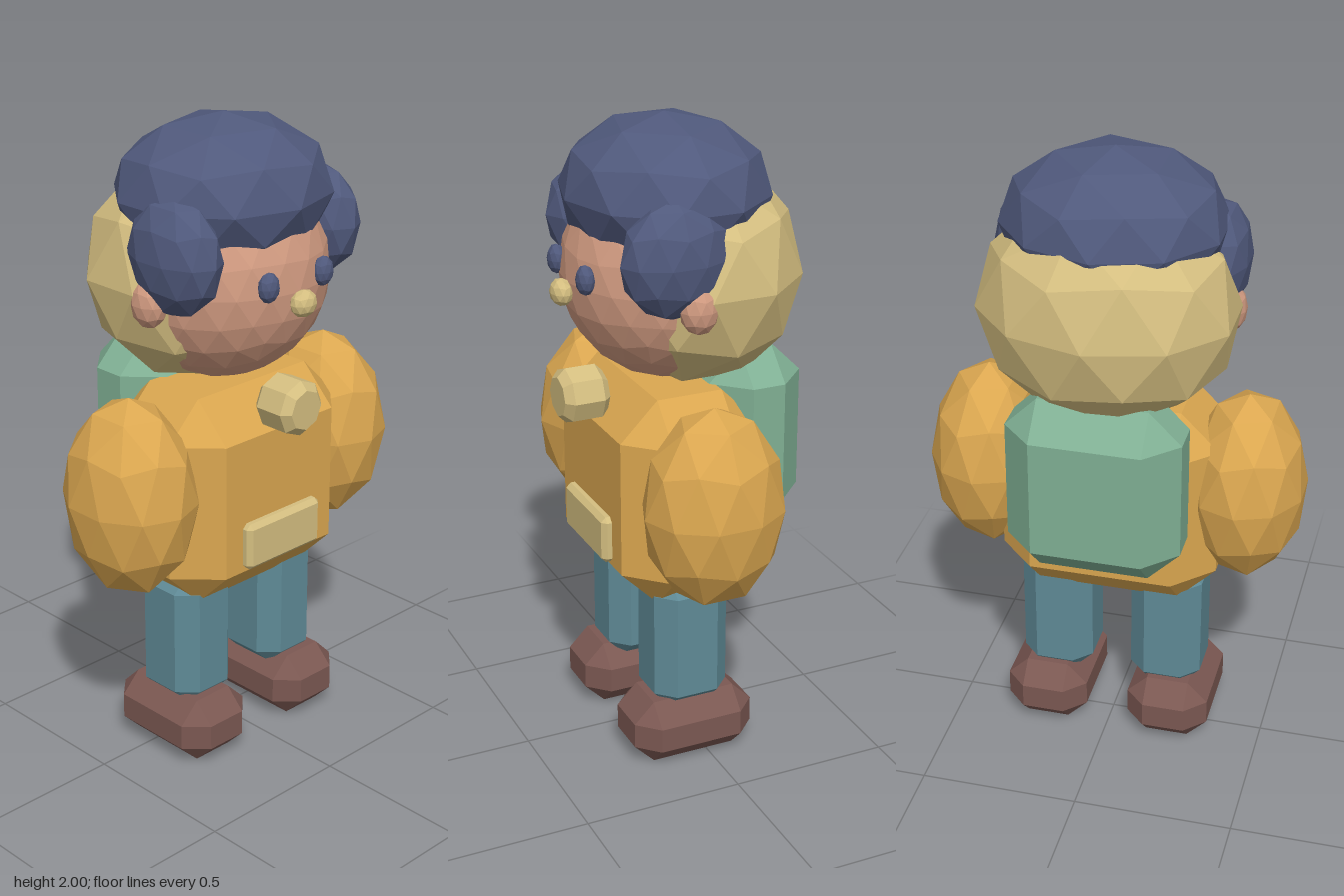
import * as THREE from 'three';
import { ConvexGeometry } from 'three/addons/geometries/ConvexGeometry.js';

const mat = (name, color) => {
  const m = new THREE.MeshStandardMaterial({ color });
  m.name = name;
  return m;
};

// Faceted ellipsoid with a vertex at each pole
function ball(rx, ry, rz, detail = 1) {
  const g = new THREE.IcosahedronGeometry(1, detail);
  g.rotateX(-Math.atan2((1 + Math.sqrt(5)) / 2, 1));
  g.rotateY(Math.PI / 2);
  g.scale(rx, ry, rz);
  g.computeVertexNormals(); // unshared corners give flat facets
  return g;
}

// Box with every edge and corner cut by the same bevel
function chamferBox(w, h, d, b) {
  const points = [];
  const [x, y, z] = [w / 2, h / 2, d / 2];
  for (const i of [-1, 1]) for (const j of [-1, 1]) for (const k of [-1, 1]) {
    points.push(
      new THREE.Vector3(i * x, j * (y - b), k * (z - b)),
      new THREE.Vector3(i * (x - b), j * y, k * (z - b)),
      new THREE.Vector3(i * (x - b), j * (y - b), k * z));
  }
  return new ConvexGeometry(points);
}

// Eight-sided button lying along z with bevelled rims
function buttonGeometry(r, depth, b) {
  const points = [];
  for (let i = 0; i < 8; i++) {
    const a = i * Math.PI / 4;
    for (const s of [-1, 1]) {
      for (const [rad, z] of [[r, depth / 2 - b], [r - b, depth / 2]]) {
        points.push(new THREE.Vector3(Math.sin(a) * rad, Math.cos(a) * rad, s * z));
      }
    }
  }
  return new ConvexGeometry(points);
}

export function createModel() {
  const model = new THREE.Group();
  model.name = 'figure';

  const skin = mat('skin', 0xd09a80);
  const navy = mat('navy', 0x50597c);
  const mustard = mat('mustard', 0xdba750);
  const tan = mat('tan', 0xd4be80);
  const green = mat('green', 0x80b094);
  const teal = mat('teal', 0x5f8a96);
  const brown = mat('brown', 0x7b5852);

  const add = (name, geometry, material, x, y, z) => {
    const mesh = new THREE.Mesh(geometry, material);
    mesh.name = name;
    mesh.position.set(x, y, z);
    model.add(mesh);
  };
  const pair = (name, geometry, material, x, y, z) => {
    add('left' + name, geometry, material, x, y, z);
    add('right' + name, geometry, material, -x, y, z);
  };

  // Head, hood and hair
  add('head', ball(0.33, 0.33, 0.325, 3), skin, 0, 1.525, 0.01);
  add('hood', ball(0.4, 0.36, 0.325), tan, 0, 1.53, -0.06);
  add('hairTop', ball(0.345, 0.23, 0.315), navy, 0, 1.77, 0.02);
  pair('SideHair', ball(0.105, 0.178, 0.17), navy, 0.285, 1.643, 0.115);

  // Face
  pair('Ear', ball(0.05, 0.075, 0.06), skin, 0.34, 1.505, 0.065);
  pair('Eye', ball(0.036, 0.046, 0.028), navy, 0.112, 1.56, 0.32);
  add('nose', ball(0.046, 0.042, 0.034), tan, 0, 1.495, 0.351);

  // Jacket
  add('torso', chamferBox(0.69, 0.67, 0.45, 0.12), mustard, 0, 0.865, 0.04);
  pair('Sleeve', ball(0.19, 0.315, 0.22), mustard, 0.412, 0.915, 0.05);
  add('collarButton', buttonGeometry(0.087, 0.145, 0.025), tan, 0, 1.167, 0.298);
  add('pocket', chamferBox(0.31, 0.15, 0.06, 0.015), tan, 0, 0.735, 0.265);

  // Backpack
  add('backpack', chamferBox(0.54, 0.58, 0.305, 0.1), green, 0, 1.01, -0.2025);

  // Legs and shoes
  pair('Leg', chamferBox(0.23, 0.45, 0.245, 0.055), teal, 0.18, 0.392, 0.042);
  pair('Shoe', chamferBox(0.265, 0.21, 0.4, 0.065), brown, 0.202, 0.105, 0.045);

  return model;
}
